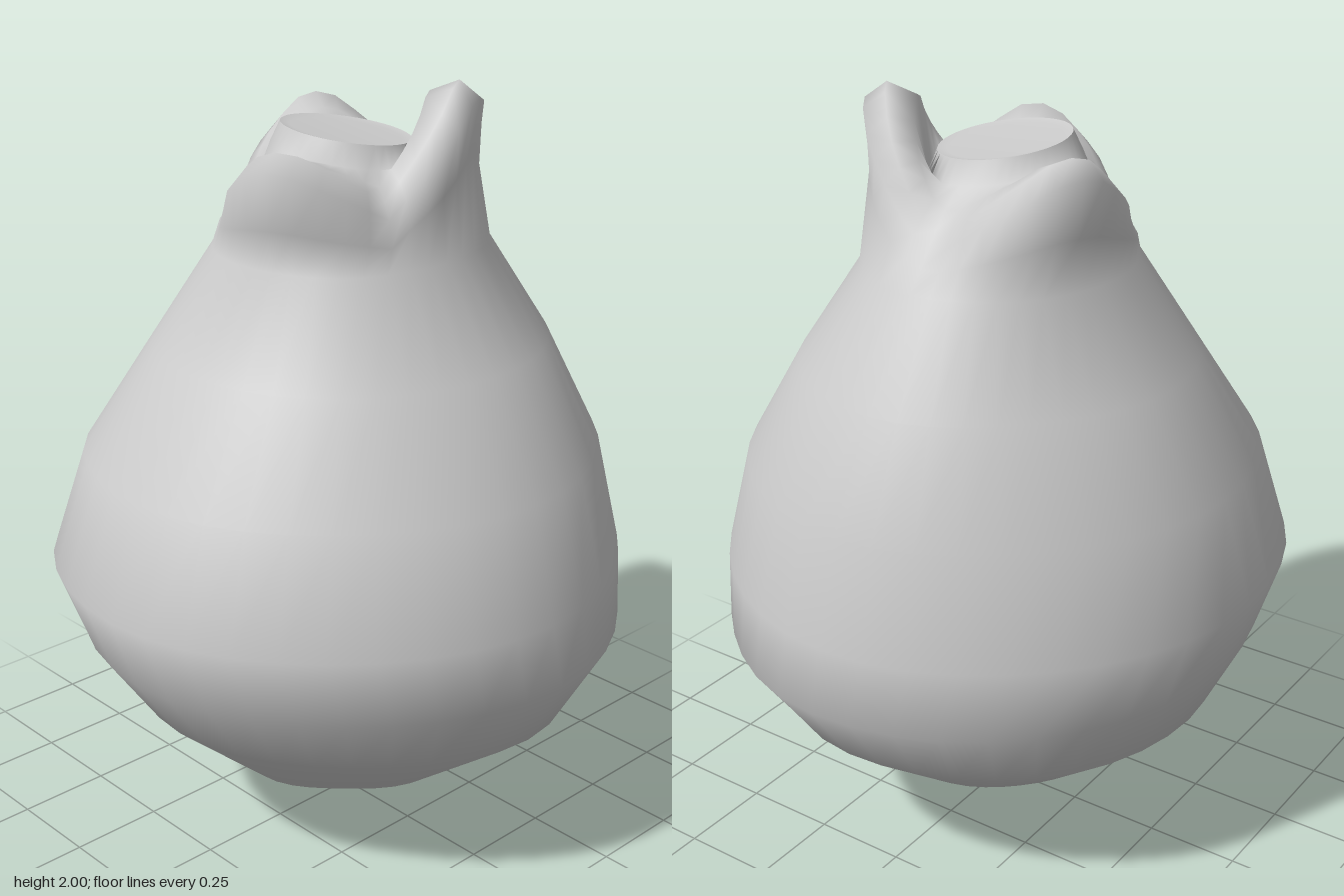
import * as THREE from 'three';

const SEG = 40;
const AXIS = [0.05, -0.035]; // crown centre (x, z)
const DISC = { x: 0.03, z: -0.03, r: 0.165, y: 1.865 };
const rad = THREE.MathUtils.degToRad;
const lerp = THREE.MathUtils.lerp;

// Crown lobes: direction, tip height, outward reach, half width
const LOBES = [
  { a: rad(160), y: 1.87, r: 0.425, half: rad(52) },
  { a: rad(63), y: 2.0, r: 0.335, half: rad(58) },
  { a: rad(-63), y: 1.9, r: 0.385, half: rad(55) },
];

// Body silhouette: [y, xMin, xMax, zMin, zMax, bulge of each diagonal from (+x, +z) round to (+x, -z)]
const BODY = [
  [0.15, -0.31, 0.32, -0.31, 0.31, [-0.12, -0.1, -0.08, -0.05]],
  [0.41, -0.6, 0.65, -0.61, 0.65, [-0.09, -0.05, -0.03, 0.01]],
  [0.6, -0.73, 0.78, -0.7, 0.75, [-0.05, -0.03, 0, 0]],
  [0.78, -0.78, 0.765, -0.745, 0.74, [-0.025, -0.025, 0.015, -0.02]],
  [1.06, -0.68, 0.71, -0.67, 0.65, [-0.02, -0.03, 0.015, -0.035]],
  [1.33, -0.48, 0.59, -0.53, 0.47, [-0.01, 0.01, 0.01, -0.05]],
  [1.58, -0.32, 0.43, -0.37, 0.3, [0, 0.07, 0, 0]],
];

// Nearest lobe to an angle and how strongly it acts there (0 valley, 1 tip)
function lobeAt(angle) {
  let best = { w: 0, lobe: LOBES[0] };
  for (const lobe of LOBES) {
    const d = Math.abs(Math.atan2(Math.sin(angle - lobe.a), Math.cos(angle - lobe.a)));
    const w = THREE.MathUtils.clamp(1.12 * (1 - d / lobe.half), 0, 1);
    if (w > best.w) best = { w, lobe };
  }
  return best;
}

function bodyRing([y, x0, x1, z0, z1, bulge]) {
  return (a) => {
    const k = 1 + bulge[Math.floor(a / (Math.PI / 2))] * Math.sin(2 * a) ** 2;
    return [
      (x0 + x1) / 2 + ((x1 - x0) / 2) * k * Math.cos(a), y,
      (z0 + z1) / 2 + ((z1 - z0) / 2) * k * Math.sin(a),
    ];
  };
}

// Ring blending a valley radius and height into each lobe's own
function crownRing(valleyR, valleyY, inset, drop) {
  return (a) => {
    const { w, lobe } = lobeAt(a);
    const r = lerp(valleyR, lobe.r - inset, w);
    return [AXIS[0] + r * Math.cos(a), lerp(valleyY, lobe.y - drop, w), AXIS[1] + r * Math.sin(a)];
  };
}

// Tilted ring around the flower disc
function discRing(r, sink) {
  return (a) => {
    const dx = r * Math.cos(a), dz = r * Math.sin(a);
    return [DISC.x + dx, DISC.y - sink - 0.1 * (dx + dz), DISC.z + dz];
  };
}

// Closed loops joined from bottom to top, with an optional point at the bottom
function loft(rings, tip) {
  const pos = [], index = [];
  for (const ring of rings) {
    for (let i = 0; i < SEG; i++) pos.push(...ring((i / SEG) * Math.PI * 2));
  }
  for (let j = 0; j < rings.length - 1; j++) {
    for (let i = 0; i < SEG; i++) {
      const n = (i + 1) % SEG;
      const a = j * SEG + i, b = j * SEG + n, c = a + SEG, d = b + SEG;
      index.push(a, c, b, b, c, d);
    }
  }
  if (tip) {
    const t = pos.length / 3;
    pos.push(...tip);
    for (let i = 0; i < SEG; i++) index.push(t, i, (i + 1) % SEG);
  }
  const g = new THREE.BufferGeometry();
  g.setAttribute('position', new THREE.Float32BufferAttribute(pos, 3));
  g.setIndex(index);
  g.computeVertexNormals();
  return g;
}

export function createModel() {
  const group = new THREE.Group();
  group.name = 'pomegranate';
  const material = new THREE.MeshStandardMaterial({ color: 0xcccccc, side: THREE.DoubleSide });
  const add = (name, geometry) => {
    const mesh = new THREE.Mesh(geometry, material);
    mesh.name = name;
    group.add(mesh);
  };

  // Fruit body flowing into the three-lobed crown, then in to the central stub
  add('fruitBodyAndCrown', loft([
    ...BODY.map(bodyRing),
    crownRing(0.335, 1.63, 0.015, 0.18),
    crownRing(0.3, 1.675, 0.0, 0.04),
    crownRing(0.27, 1.71, 0.055, 0.0),
    crownRing(0.235, 1.75, 0.13, 0.03),
    discRing(0.19, 0.055),
    discRing(DISC.r, 0),
  ], [0, 0, 0]));

  // Flat disc capping the stub
  add('flowerDisc', loft([discRing(DISC.r, 0), discRing(0.14, 0.005), discRing(0.0001, 0.005)]));

  return group;
}
